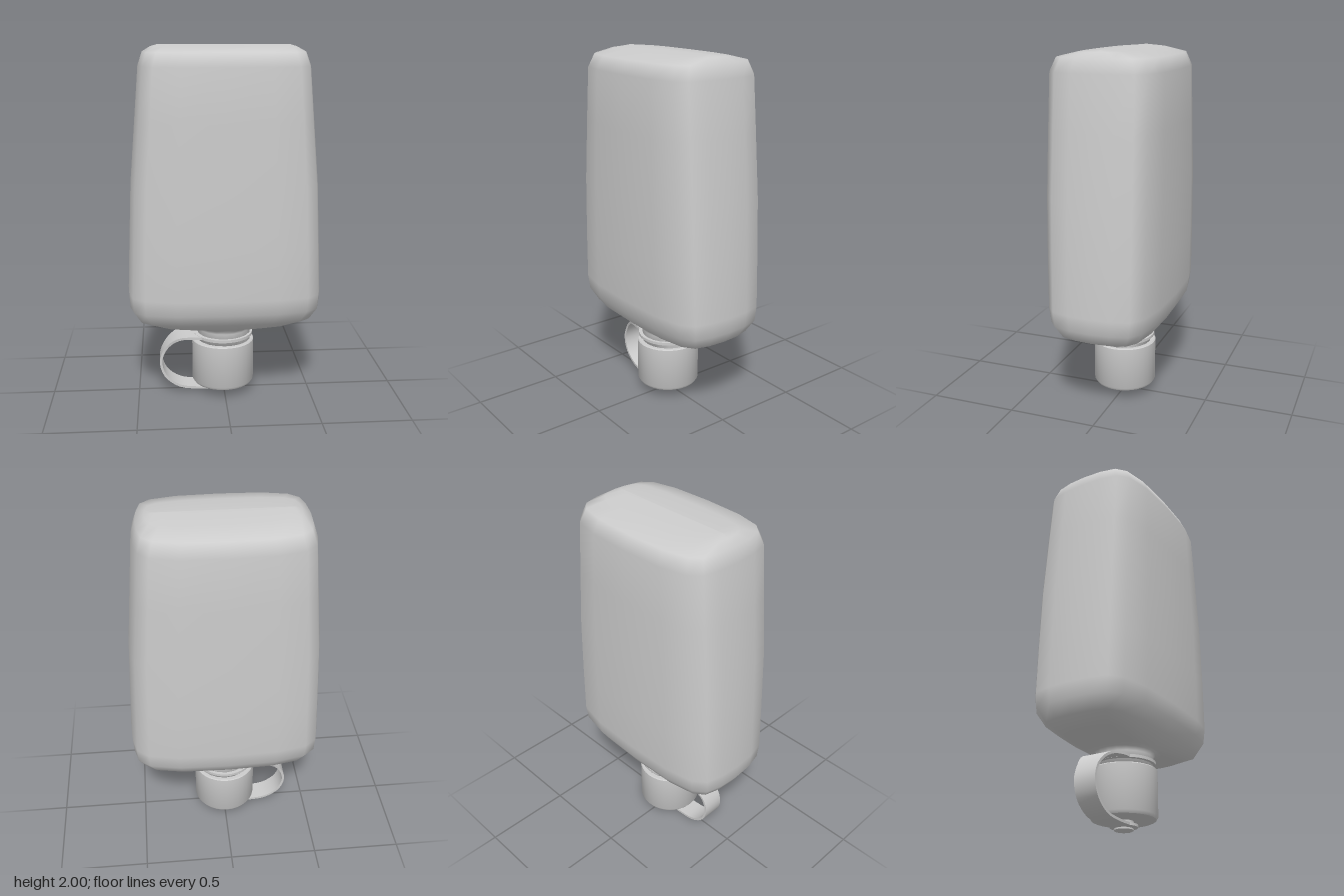
import * as THREE from 'three';
import { toCreasedNormals } from 'three/addons/utils/BufferGeometryUtils.js';

const material = new THREE.MeshStandardMaterial({ color: 0xcccccc, side: THREE.DoubleSide });
const CAP_X = -0.005;

// Skin a list of equal-length closed rings and close both ends
function loft(rings) {
  const n = rings[0].length;
  const pos = rings.flat(2);
  const index = [];
  for (let i = 0; i < rings.length - 1; i++) {
    for (let j = 0; j < n; j++) {
      const k = (j + 1) % n;
      const a = i * n + j, b = i * n + k, c = a + n, d = b + n;
      index.push(a, c, b, b, c, d);
    }
  }
  const last = (rings.length - 1) * n;
  for (let j = 1; j < n - 1; j++) {
    index.push(0, j, j + 1, last, last + j + 1, last + j);
  }
  const g = new THREE.BufferGeometry();
  g.setAttribute('position', new THREE.Float32BufferAttribute(pos, 3));
  g.setIndex(index);
  g.computeVertexNormals();
  return g;
}

function addMesh(group, name, geometry) {
  const mesh = new THREE.Mesh(geometry, material);
  mesh.name = name;
  group.add(mesh);
  return mesh;
}

function turned(profile, segments = 32) {
  const g = new THREE.LatheGeometry(profile.map(([r, y]) => new THREE.Vector2(r, y)), segments);
  return toCreasedNormals(g, 0.6).translate(CAP_X, 0, 0);
}

// Bottle cross-section: blend 0 is a circle, blend 1 a soft rectangle
const QUARTER = [[1, 0], [0.985, 0.38], [0.94, 0.69], [0.82, 0.86], [0.51, 0.97]];
function section([y, w, d, blend]) {
  const ring = [];
  for (let q = 0; q < 4; q++) {
    for (let s = 0; s < 5; s++) {
      // Odd quarters run the same points backwards
      const odd = q % 2 === 1;
      const [u, v] = odd ? (s === 0 ? [0, 1] : QUARTER[5 - s]) : QUARTER[s];
      const sx = q === 1 || q === 2 ? -1 : 1;
      const sz = q >= 2 ? -1 : 1;
      const a = (q * 5 + s) * Math.PI / 10;
      const x = THREE.MathUtils.lerp(Math.cos(a), u * sx, blend);
      const z = THREE.MathUtils.lerp(Math.sin(a), v * sz, blend);
      ring.push([x * w, y, z * d]);
    }
  }
  return ring;
}

export function createModel() {
  const model = new THREE.Group();
  model.name = 'squeezeBottle';

  // Tapered bottle body with its neck: y, half width, half depth, blend
  addMesh(model, 'bottleBody', loft([
    [0.30, 0.155, 0.155, 0],
    [0.39, 0.155, 0.155, 0],
    [0.41, 0.175, 0.165, 0],
    [0.422, 0.24, 0.175, 0.3],
    [0.44, 0.40, 0.205, 0.8],
    [0.485, 0.50, 0.26, 1],
    [0.555, 0.542, 0.303, 1],
    [0.64, 0.547, 0.315, 1],
    [0.92, 0.535, 0.319, 1],
    [1.25, 0.52, 0.32, 1],
    [1.60, 0.49, 0.315, 1],
    [1.89, 0.465, 0.309, 1],
    [1.963, 0.44, 0.275, 1],
    [1.99, 0.395, 0.15, 1],
    [2.0, 0.36, 0.002, 1],
  ].map(section)));

  // Screw cap with a softened lower rim
  addMesh(model, 'cap', turned([
    [0, 0.05], [0.155, 0.05], [0.17, 0.056], [0.18, 0.072],
    [0.18, 0.315], [0.175, 0.32], [0, 0.32],
  ]));

  // Thin retaining collar around the neck
  addMesh(model, 'strapCollar', turned([
    [0.14, 0.346], [0.173, 0.346], [0.173, 0.362], [0.14, 0.362], [0.14, 0.346],
  ]));

  // Rivet and round strap end under the cap
  addMesh(model, 'capRivet', turned([
    [0, 0], [0.045, 0], [0.052, 0.004], [0.052, 0.012], [0.03, 0.014],
    [0.03, 0.036], [0.052, 0.038], [0.052, 0.052], [0, 0.052],
  ], 24));
  addMesh(model, 'strapEnd', turned([
    [0, 0.018], [0.075, 0.018], [0.075, 0.032], [0, 0.032],
  ], 24));

  // Flat strap looping from the collar to the rivet, wider at the collar
  const path = new THREE.CatmullRomCurve3([
    [-0.13, 0.354], [-0.19, 0.353], [-0.26, 0.341], [-0.325, 0.295], [-0.366, 0.22],
    [-0.366, 0.16], [-0.335, 0.095], [-0.26, 0.042], [-0.17, 0.027], [-0.01, 0.025],
  ].map(([x, y]) => new THREE.Vector3(x, y, 0)));
  const rings = [];
  const STEPS = 28;
  for (let i = 0; i <= STEPS; i++) {
    const t = i / STEPS;
    const p = path.getPointAt(t);
    const tan = path.getTangentAt(t);
    const half = THREE.MathUtils.lerp(0.115, 0.062, THREE.MathUtils.smoothstep(t, 0, 0.35));
    const nx = tan.y * 0.007, ny = -tan.x * 0.007;
    rings.push([[1, -1], [1, 1], [-1, 1], [-1, -1]].map(
      ([a, b]) => [p.x + a * nx, p.y + a * ny, b * half]));
  }
  addMesh(model, 'strap', toCreasedNormals(loft(rings), 0.7));

  return model;
}
